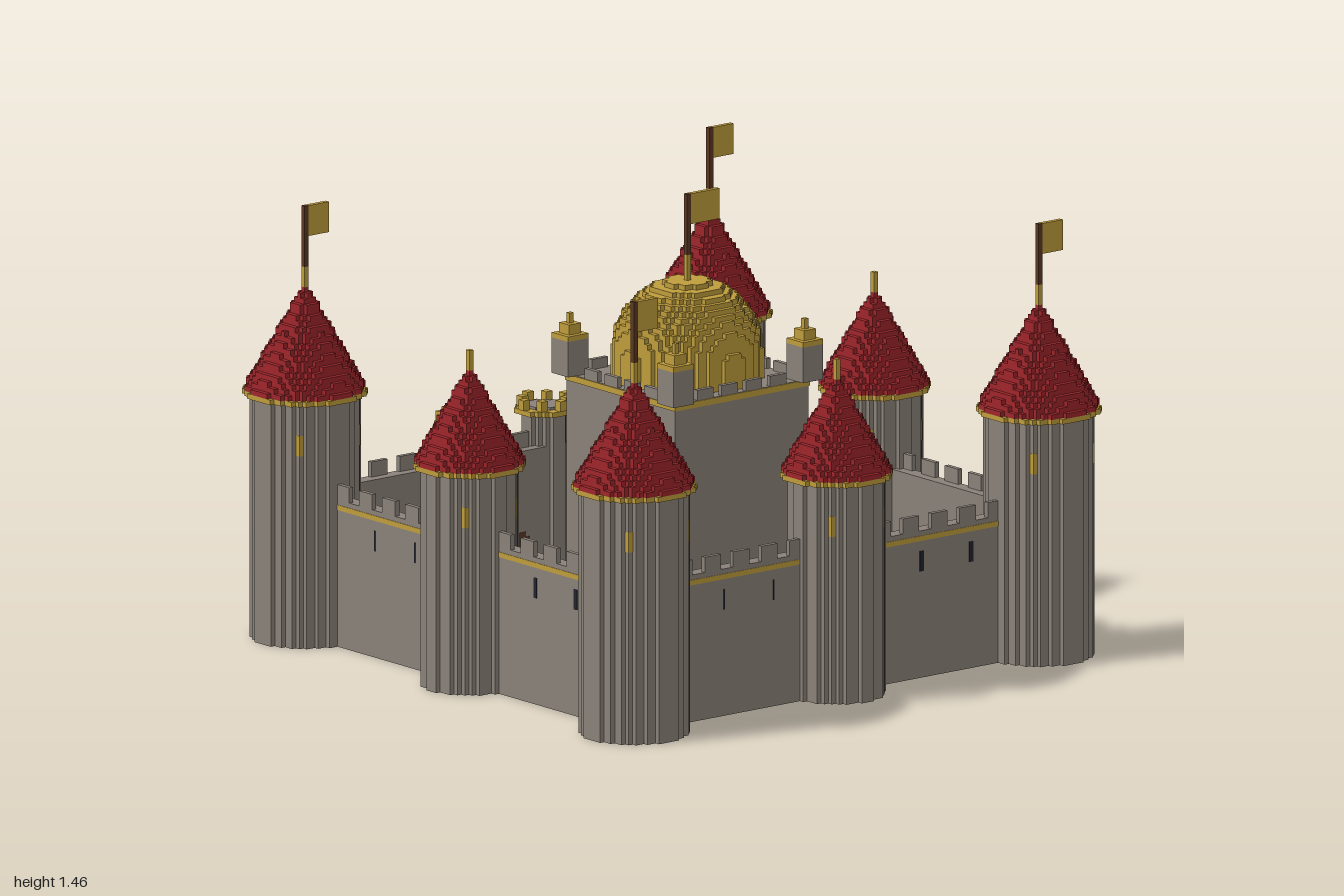
import * as THREE from 'three';
import { mergeGeometries } from 'three/addons/utils/BufferGeometryUtils.js';

const V = 2 / 123; // size of one block; everything below is measured in blocks

const mat = (name, color) => {
  const m = new THREE.MeshStandardMaterial({ color });
  m.name = name;
  return m;
};

// Box between two corners
function box(x0, x1, y0, y1, z0, z1) {
  const g = new THREE.BoxGeometry(x1 - x0, y1 - y0, z1 - z0).toNonIndexed();
  return g.translate((x0 + x1) / 2, (y0 + y1) / 2, (z0 + z1) / 2);
}

// Single column of blocks
const column = (x, z, y0, y1, w = 0.5) => box(x - w, x + w, y0, y1, z - w, z + w);

// Disc with a stepped, blocky outline
function disc(r, y0, y1, x = 0, z = 0) {
  const n = Math.floor(r), upper = [];
  const add = (px, py) => {
    const last = upper[upper.length - 1];
    if (!last || last[0] !== px || last[1] !== py) upper.push([px, py]);
  };
  for (let i = -n; i <= n; i++) {
    const h = Math.floor(Math.sqrt(r * r - i * i)) + 0.5;
    add(i - 0.5, h);
    add(i + 0.5, h);
  }
  const lower = upper.map(([a, b]) => [-a, -b]);
  const shape = new THREE.Shape([...upper, ...lower].map(([a, b]) => new THREE.Vector2(a, b)));
  const g = new THREE.ExtrudeGeometry(shape, { depth: y1 - y0, bevelEnabled: false, steps: 1 });
  return g.rotateX(-Math.PI / 2).translate(x, y0, z);
}

function part(parent, name, material, geos) {
  const m = new THREE.Mesh(mergeGeometries(geos), material);
  m.name = name;
  parent.add(m);
  return m;
}

function group(parent, name, x = 0, z = 0) {
  const g = new THREE.Group();
  g.name = name;
  g.position.set(x, 0, z);
  parent.add(g);
  return g;
}

export function createModel() {
  const stone = mat('stone', 0x8a8279);
  const gold = mat('gold', 0xc09d3c);
  const red = mat('roofRed', 0x9e262b);
  const green = mat('grass', 0x5a8f4a);
  const wood = mat('wood', 0x5a3722);
  const dark = mat('slitDark', 0x22242f);

  const model = new THREE.Group();
  model.name = 'castle';
  const castle = group(model, 'blocks');
  castle.scale.setScalar(V);

  // Gold finial, wooden pole and a flag pointing to +x
  function flagpole(parent, y, finial, pole, flagW) {
    const top = y + finial + pole;
    part(parent, 'finial', gold, [column(0, 0, y, y + finial)]);
    if (!pole) return;
    part(parent, 'pole', wood, [column(0, 0, y + finial, top)]);
    part(parent, 'flag', gold, [box(0.5, 0.5 + flagW, top - 6, top, -0.5, 0.5)]);
  }

  // Round tower with a stepped cone roof
  function tower(name, x, z, r, h, layers, win, pole) {
    const t = group(castle, name, x, z);
    part(t, 'towerBody', stone, [disc(r + 0.2, 0, h)]);
    part(t, 'towerRing', gold, [disc(r + 1.5, h, h + 1)]);
    const steps = [];
    for (let i = 0; i < layers; i++) {
      steps.push(disc((r + 1.2) * (1 - i / layers), h + 1 + i, h + 2 + i));
    }
    part(t, 'towerRoof', red, steps);
    const windows = [];
    for (const sx of [-1, 1]) for (const sz of [-1, 1]) {
      windows.push(column(sx * win, sz * win, h - 10, h - 6, 0.54));
    }
    part(t, 'towerWindows', gold, windows);
    flagpole(t, h + 1 + layers, 4, pole, 5);
  }
  for (const sx of [-1, 1]) {
    for (const sz of [-1, 1]) tower('cornerTower', sx * 50, sz * 50, 10, 48, 20, 7, 12);
    tower('sideTower', sx * 50, 0, 9, 43, 18, 6, 0);
  }
  tower('frontTower', 0, 50, 9, 43, 18, 6, 0);

  // Four curtain walls: front, right, back, left
  ['frontWall', 'rightWall', 'backWall', 'leftWall'].forEach((name, k) => {
    const w = group(castle, name);
    w.rotation.y = k * Math.PI / 2;
    const blocks = [box(-50.5, 50.5, 0, 29, 47.5, 50.5)];
    for (let s = -40; s < 40; s += 7) blocks.push(box(s, s + 4, 29, 32, 49.5, 50.5));
    part(w, 'wallStone', stone, blocks);
    part(w, 'wallBand', gold, [box(-42, 42, 27, 28, 50, 50.6)]);
    const slits = [[-28.2, 0.15], [-16, 0.15], [20.6, 0.5], [32.8, 0.5]]
      .filter(([s]) => k !== 2 || Math.abs(s) > 25)
      .map(([s, hw]) => box(s - hw, s + hw, 21, 25, 50.2, 50.6));
    part(w, 'arrowSlits', dark, slits);
  });

  // Courtyard and path
  part(castle, 'grass', green, [box(-47.5, 47.5, 0.03, 1, -47.5, 47.5)]);
  part(castle, 'path', stone, [box(-5.5, 5.5, 0, 1.05, -48, -11)]);

  // Gatehouse in the back wall
  const gate = group(castle, 'gatehouse', 0, -50);
  const arch = [];
  for (let i = -4; i <= 4; i++) {
    arch.push(box(i - 0.5, i + 0.5, 0.1, 9 + Math.round(Math.sqrt(20.25 - i * i)), -0.6, 2.6));
  }
  part(gate, 'gateDoor', wood, arch);
  part(gate, 'gateLintel', gold, [box(-6, 6, 27, 28, -1.5, -0.5)]);
  for (const s of [-1, 1]) {
    const t = group(gate, 'gateTower', s * 10, -1);
    part(t, 'gateTowerBody', stone, [disc(4.2, 0, 35)]);
    part(t, 'gateTowerRing', gold, [disc(5.4, 35, 36)]);
    part(t, 'gateTowerTop', stone, [disc(3.2, 36, 36.5)]);
    const merlons = [];
    for (let i = 0; i < 8; i++) {
      const a = i * Math.PI / 4;
      merlons.push(column(Math.round(4.6 * Math.cos(a)), Math.round(4.6 * Math.sin(a)), 36, 38, 0.8));
    }
    part(t, 'gateTowerMerlons', gold, merlons);
    const b = group(gate, 'banner', s * 17);
    part(b, 'bannerCloth', gold, [
      box(-3.5, 3.5, 25, 26, -1.5, -0.5),
      box(-2.5, 2.5, 15, 25, -1.3, -0.5),
      box(-1.5, 1.5, 14, 15, -1.3, -0.5),
    ]);
  }

  // Central keep
  const keep = group(castle, 'keep', 0, 4.7);
  const keepStone = [box(-16.5, 16.5, 0, 54, -16.5, 16.5)];
  for (let s = -12; s < 12; s += 6) for (const e of [-16, 16]) {
    keepStone.push(box(s + 1, s + 5, 54, 56, e - 0.5, e + 0.5));
    keepStone.push(box(e - 0.5, e + 0.5, 54, 56, s + 1, s + 5));
  }
  part(keep, 'keepWalls', stone, keepStone);
  part(keep, 'keepBand', gold, [box(-16.7, 16.7, 52.7, 53.9, -16.7, 16.7)]);
  part(keep, 'keepWindows', gold, [-11, -4, 4, 11].flatMap((x) => [
    box(x - 1.5, x + 1.5, 42, 45, -16.6, -16), box(x - 0.5, x + 0.5, 45, 46, -16.6, -16)]));
  part(keep, 'keepDoor', wood, [box(-3.5, 3.5, 1, 10, -16.6, -16), box(-2.5, 2.5, 10, 12, -16.6, -16)]);

  // Corner turrets on the keep
  for (const sx of [-1, 1]) for (const sz of [-1, 1]) {
    const t = group(keep, 'keepTurret', sx * 16, sz * 16);
    part(t, 'turretBody', stone, [column(0, 0, 54, 61, 2.5)]);
    part(t, 'turretCap', gold, [column(0, 0, 61, 62, 2.5), column(0, 0, 62, 64, 1.5), column(0, 0, 64, 66)]);
  }

  // Stepped golden dome with its flag
  const dome = [];
  for (let i = 0; i < 19; i++) {
    const dy = Math.max(0, i - 4.5);
    dome.push(disc(Math.sqrt(14.2 * 14.2 - dy * dy), 54 + i, 55 + i));
  }
  part(keep, 'dome', gold, dome);
  flagpole(keep, 73, 5, 12, 7);

  return model;
}
